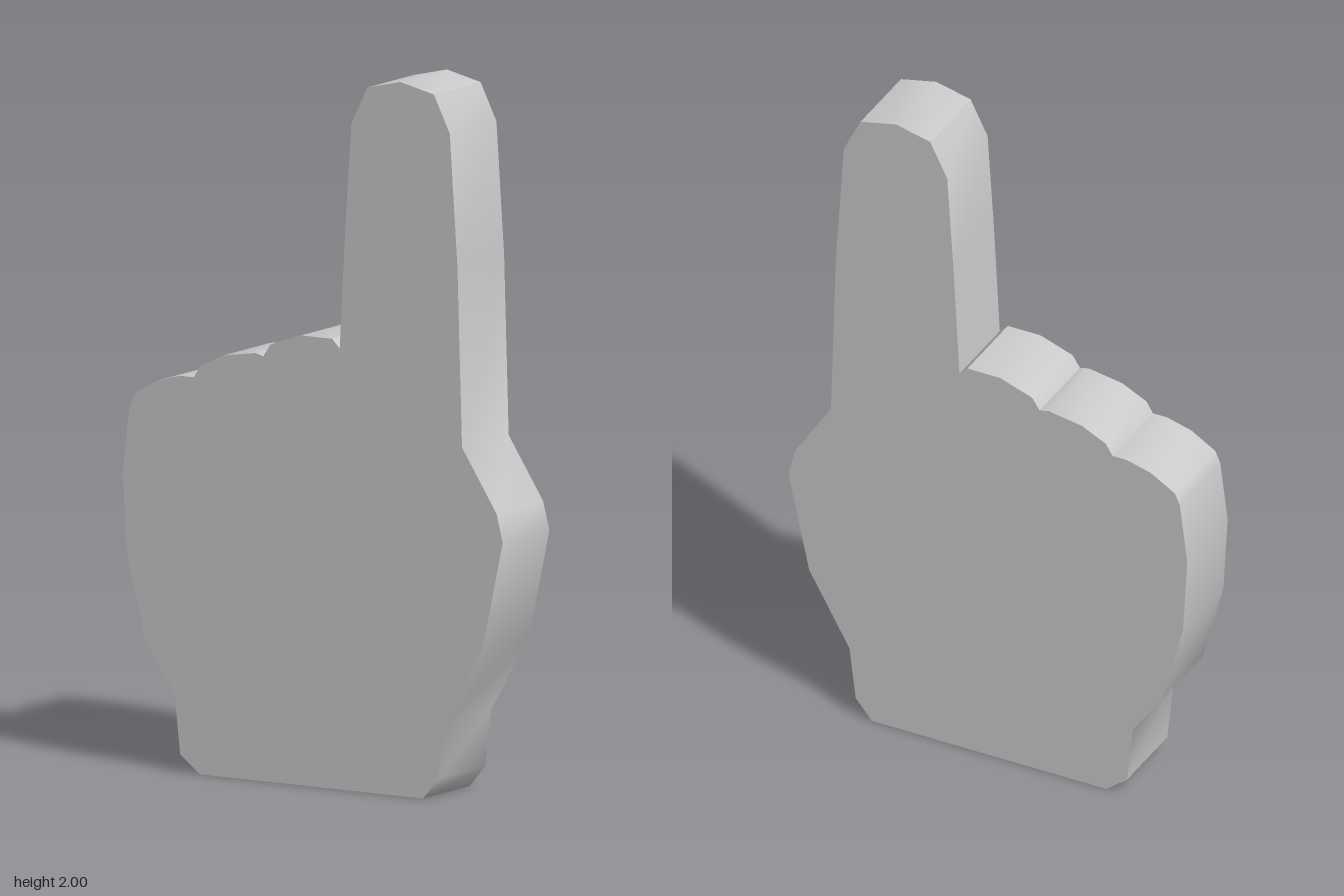
import * as THREE from 'three';
import { toCreasedNormals } from 'three/addons/utils/BufferGeometryUtils.js';

const DEPTH = 0.24;

// Outline sections, running counter-clockwise from the base
const cuffRight = [[-0.37, 0], [0.36, 0], [0.41, 0.06], [0.43, 0.22]];
const thumbSide = [[0.555, 0.44], [0.62, 0.74], [0.6, 0.82], [0.487, 0.995]];
const indexFinger = [
  [0.472, 1.5], [0.447, 1.87], [0.395, 1.975], [0.285, 2],
  [0.178, 1.975], [0.125, 1.87], [0.105, 1.57], [0.087, 1.235],
];
const foldedFingers = [
  [0.062, 1.26], [-0.04, 1.26], [-0.14, 1.225], [-0.163, 1.19],
  [-0.19, 1.197], [-0.295, 1.18], [-0.37, 1.143], [-0.39, 1.11],
  [-0.435, 1.11], [-0.51, 1.09], [-0.585, 1.045], [-0.6, 1.01],
];
const palmLeft = [[-0.623, 0.83], [-0.61, 0.6], [-0.547, 0.355], [-0.453, 0.22], [-0.435, 0.05]];

export function createModel() {
  const group = new THREE.Group();
  group.name = 'foamHand';

  const outline = [...cuffRight, ...thumbSide, ...indexFinger, ...foldedFingers, ...palmLeft];
  const shape = new THREE.Shape(outline.map(([x, y]) => new THREE.Vector2(x, y)));

  // Flat slab with softly shaded rim and sharp front and back edges
  const slab = new THREE.ExtrudeGeometry(shape, { depth: DEPTH, bevelEnabled: false });
  slab.translate(0, 0, -DEPTH / 2);

  const hand = new THREE.Mesh(
    toCreasedNormals(slab, 0.7),
    new THREE.MeshStandardMaterial({ color: 0xcccccc }),
  );
  hand.name = 'pointingHand';
  group.add(hand);
  return group;
}
